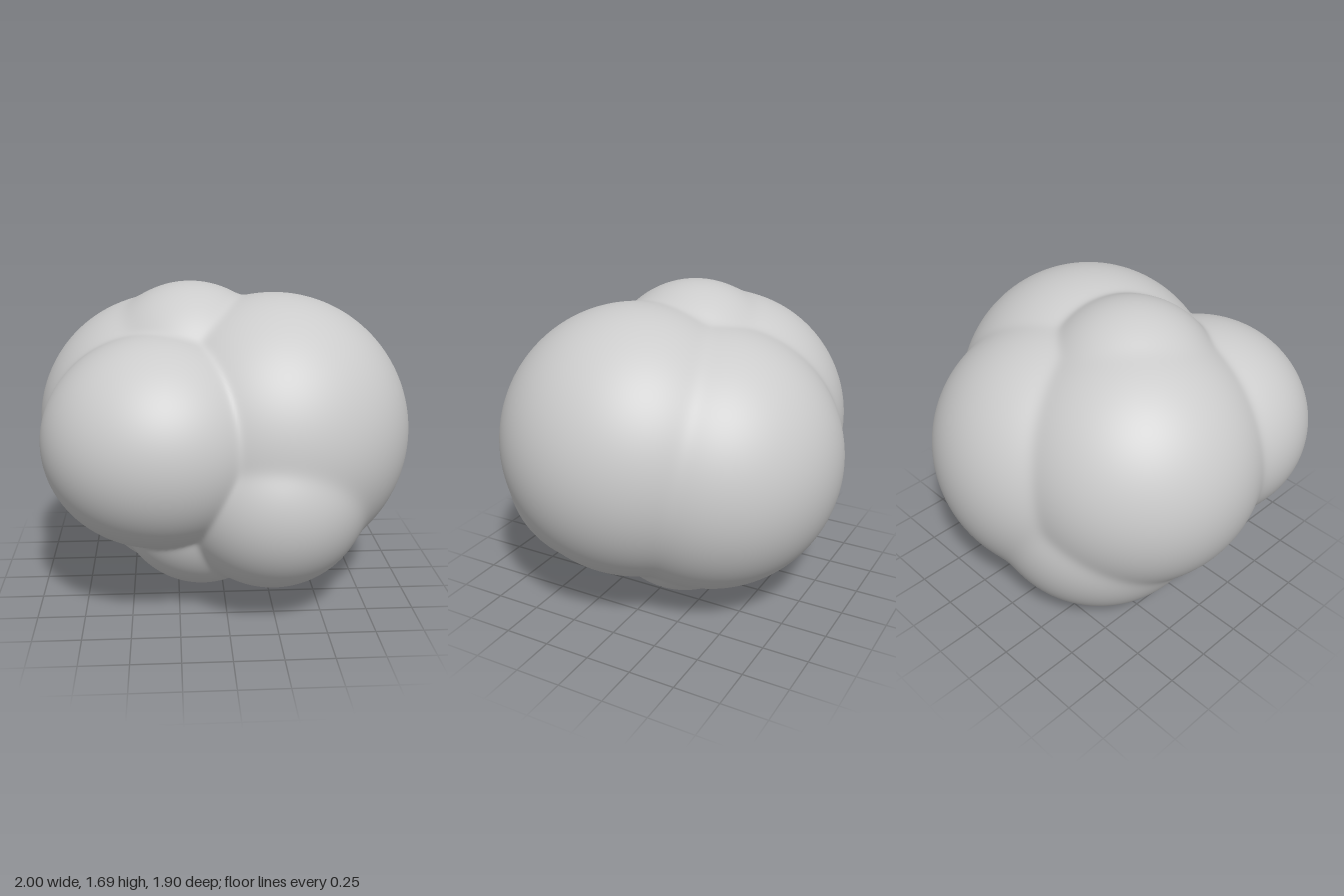
import * as THREE from 'three';
import { mergeVertices } from 'three/addons/utils/BufferGeometryUtils.js';

// Overlapping lobes: [centre x, y, z, radius x, y, z]
const LOBES = [
  [-0.35, 0.93, 0.37, 0.6, 0.55, 0.58],   // front right-hand lobe
  [0.27, 0.91, 0.12, 0.73, 0.735, 0.73],  // large left-hand lobe
  [0.24, 0.655, 0.35, 0.52, 0.52, 0.56],  // lower front
  [-0.3, 0.91, -0.1, 0.7, 0.7, 0.7],      // large right-hand lobe
  [-0.17, 1.195, 0, 0.5, 0.5, 0.5],       // crown
  [0.1, 0.825, -0.24, 0.715, 0.715, 0.71],// back
  [-0.17, 0.62, -0.22, 0.62, 0.62, 0.62], // underside
  [-0.12, 0.55, 0.2, 0.46, 0.465, 0.46],  // lower front, under the lobes
  [0.12, 0.48, -0.1, 0.47, 0.45, 0.45],   // small underside lobe
];
const CORE = new THREE.Vector3(0, 0.8, 0); // a point inside every lobe
const BLEND = 0.012;                       // softness of the creases

// Distance from the core to a lobe's surface along direction d
function exitDistance(d, [cx, cy, cz, rx, ry, rz]) {
  const o = new THREE.Vector3((CORE.x - cx) / rx, (CORE.y - cy) / ry, (CORE.z - cz) / rz);
  const v = new THREE.Vector3(d.x / rx, d.y / ry, d.z / rz);
  const a = v.dot(v), b = o.dot(v), c = o.dot(o) - 1;
  return (-b + Math.sqrt(b * b - a * c)) / a;
}

export function createModel() {
  const group = new THREE.Group();
  group.name = 'lobedBlob';

  // Push each point of a fine sphere out to the softened union of the lobes
  let geometry = new THREE.IcosahedronGeometry(1, 64);
  geometry.deleteAttribute('uv');
  geometry.deleteAttribute('normal');
  geometry = mergeVertices(geometry, 1e-5);
  const pos = geometry.attributes.position;
  const d = new THREE.Vector3();
  for (let i = 0; i < pos.count; i++) {
    d.fromBufferAttribute(pos, i).normalize();
    const t = LOBES.map((lobe) => exitDistance(d, lobe));
    const far = Math.max(...t);
    const sum = t.reduce((s, x) => s + Math.exp((x - far) / BLEND), 0);
    d.multiplyScalar(far + BLEND * Math.log(sum)).add(CORE);
    pos.setXYZ(i, d.x, d.y, d.z);
  }
  geometry.computeVertexNormals();

  const body = new THREE.Mesh(geometry, new THREE.MeshStandardMaterial({ color: 0xcccccc }));
  body.name = 'lobedBody';
  group.add(body);
  return group;
}
